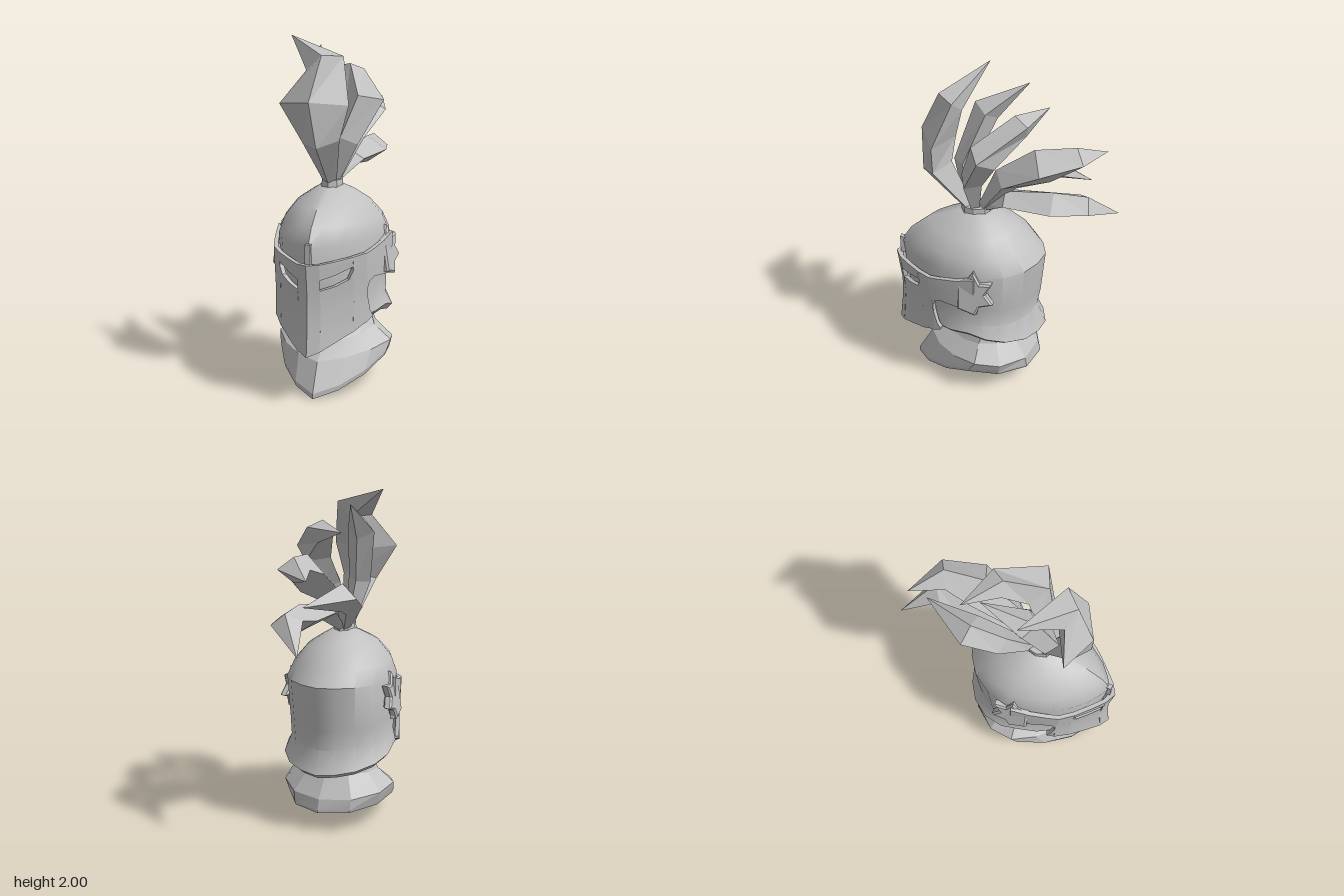
import * as THREE from 'three';
import { toCreasedNormals } from 'three/addons/utils/BufferGeometryUtils.js';

const steel = new THREE.MeshStandardMaterial({ color: 0xc0c0c0 });
steel.name = 'steel grey';

const lerp = THREE.MathUtils.lerp;
// Piecewise linear lookup in [[key, value], ...]
function lookup(table, k) {
  for (let i = 1; i < table.length; i++) {
    const [a, va] = table[i - 1], [b, vb] = table[i];
    if (k <= b) return lerp(va, vb, Math.max(0, (k - a) / (b - a)));
  }
  return table[table.length - 1][1];
}

// Skin over closed rings (counter-clockwise seen from the last ring), capped at both ends
function loft(rings, crease, startApex) {
  const pos = [];
  const tri = (a, b, c) => {
    const n = b.clone().sub(a).cross(c.clone().sub(a));
    if (n.lengthSq() > 1e-14) pos.push(...a, ...b, ...c);
  };
  for (let i = 0; i + 1 < rings.length; i++) {
    const r = rings[i], s = rings[i + 1];
    for (let j = 0; j < r.length; j++) {
      const k = (j + 1) % r.length;
      tri(r[j], r[k], s[k]);
      tri(r[j], s[k], s[j]);
    }
  }
  const mid = (r) => r.reduce((m, p) => m.add(p), new THREE.Vector3()).divideScalar(r.length);
  const first = rings[0], last = rings[rings.length - 1];
  const c0 = startApex || mid(first), c1 = mid(last);
  for (let j = 0; j < first.length; j++) {
    const k = (j + 1) % first.length;
    tri(c0, first[k], first[j]);
    tri(c1, last[j], last[k]);
  }
  const g = new THREE.BufferGeometry();
  g.setAttribute('position', new THREE.Float32BufferAttribute(pos, 3));
  return toCreasedNormals(g, crease);
}

// Mirror a non-indexed geometry across x = 0, keeping faces outward
function mirrorX(geo, crease) {
  const src = geo.attributes.position, pos = [];
  for (let i = 0; i < src.count; i += 3)
    for (const j of [i, i + 2, i + 1]) pos.push(-src.getX(j), src.getY(j), src.getZ(j));
  const g = new THREE.BufferGeometry();
  g.setAttribute('position', new THREE.Float32BufferAttribute(pos, 3));
  return toCreasedNormals(g, crease);
}

// Horizontal ring from a half outline; row = [yFront, ySide, yBack, zFront, zBack, halfWidth]
function planRing(half, [yf, ys, yb, zf, zb, w]) {
  const full = [...half, ...half.slice(1, -1).reverse().map(([u, v]) => [-u, v])];
  const zc = (zf + zb) / 2, len = (zf - zb) / 2;
  return full.map(([u, v]) =>
    new THREE.Vector3(u * w, v > 0 ? lerp(ys, yf, v) : lerp(ys, yb, -v), zc + v * len));
}

// Visor surface: front line by height, half width by distance behind it
const FRONT = [[0.28, 0.66], [0.45, 0.638], [0.6, 0.635], [0.8, 0.66]];
const WIDTH = [[0, 0], [0.035, 0.065], [0.1, 0.135], [0.18, 0.215], [0.255, 0.272],
  [0.38, 0.315], [0.54, 0.345], [0.65, 0.36]];
function visorPoint(d, y, inset) {
  const z = lookup(FRONT, y) - d;
  if (d === 0) return new THREE.Vector3(0, y, z - inset * 1.5);
  const slope = (lookup(WIDTH, d + 0.01) - lookup(WIDTH, d - 0.01)) / 0.02;
  const n = Math.hypot(1, slope);
  return new THREE.Vector3(lookup(WIDTH, d) - inset / n, y, z - inset * slope / n);
}
// Curved plate through columns [distance, yTop, yBottom]
function visorStrip(cols) {
  const steps = 5;
  return loft(cols.map(([d, top, bot]) => {
    const ring = [];
    for (let i = 0; i <= steps; i++) ring.push(visorPoint(d, lerp(top, bot, i / steps), 0));
    for (let i = steps; i >= 0; i--) ring.push(visorPoint(d, lerp(top, bot, i / steps), 0.025));
    return ring;
  }), 0.6);
}

// Faceted feather; nodes = [x, y, z, halfWidth, halfThickness]
function feather(nodes, side) {
  const p = nodes.map((n) => new THREE.Vector3(n[0], n[1], n[2]));
  return loft(nodes.map(([, , , w, t], i) => {
    const dir = p[Math.min(i + 1, p.length - 1)].clone().sub(p[Math.max(i - 1, 0)]).normalize();
    const s = side.clone().addScaledVector(dir, -side.dot(dir)).normalize();
    const n = dir.clone().cross(s);
    return [[s, w], [n, t], [s, -w], [n, -t]].map(([v, k]) => p[i].clone().addScaledVector(v, k));
  }), 0.01);
}

export function createModel() {
  const model = new THREE.Group();
  const add = (name, geo, parent = model) => {
    const m = new THREE.Mesh(geo, steel);
    m.name = name;
    parent.add(m);
  };
  const addPair = (name, geo, crease, parent) => {
    add(name + 'Left', geo, parent);
    add(name + 'Right', mirrorX(geo, crease), parent);
  };

  // Helmet shell: turned-in rim, flare, wall and dome
  const skullPlan = [[0, 1], [0.2, 0.91], [0.42, 0.79], [0.7, 0.54], [0.88, 0.28], [0.97, 0],
    [1, -0.25], [0.9, -0.53], [0.65, -0.78], [0.33, -0.93], [0, -1]];
  add('helmetShell', loft([
    [0.5, 0.53, 0.46, 0.5, -0.15, 0.25],
    [0.41, 0.44, 0.34, 0.55, -0.23, 0.3],
    [0.43, 0.475, 0.365, 0.57, -0.26, 0.33],
    [0.5, 0.535, 0.5, 0.58, -0.205, 0.3],
    [0.65, 0.65, 0.62, 0.59, -0.225, 0.3],
    [0.89, 0.89, 0.89, 0.62, -0.25, 0.315],
    [0.985, 0.985, 0.985, 0.56, -0.18, 0.28],
    [1.07, 1.07, 1.07, 0.46, -0.09, 0.21],
    [1.13, 1.13, 1.13, 0.32, 0.01, 0.12],
    [1.165, 1.165, 1.165, 0.23, 0.1, 0.06],
  ].map((r) => planRing(skullPlan, r)), 0.6));
  add('browRidge', new THREE.BoxGeometry(0.03, 0.11, 0.05).translate(0, 0.855, 0.605));

  // Neck guard with pointed collar
  const collarPlan = [[0, 1], [0.4, 0.78], [0.76, 0.42], [1, 0], [0.92, -0.45], [0.55, -0.85], [0, -1]];
  add('neckGuard', loft([
    [0, 0.165, 0.12, 0.55, -0.23, 0.315],
    [0.03, 0.19, 0.135, 0.55, -0.23, 0.325],
    [0.19, 0.25, 0.2, 0.46, -0.215, 0.34],
    [0.26, 0.33, 0.33, 0.35, -0.12, 0.24],
    [0.33, 0.41, 0.37, 0.28, -0.1, 0.21],
    [0.48, 0.52, 0.48, 0.28, -0.08, 0.2],
  ].map((r) => planRing(collarPlan, r)), 0.2, new THREE.Vector3(0, 0.15, 0.16)));

  // Visor plates around the eye slits, with cheek hooks and side arms
  const visor = new THREE.Group();
  visor.name = 'visor';
  model.add(visor);
  const plates = {
    nosePlate: [[0, 0.8, 0.28], [0.035, 0.8, 0.305]],
    browPlate: [[0.035, 0.8, 0.71], [0.1, 0.808, 0.73], [0.18, 0.82, 0.765]],
    facePlate: [[0.035, 0.65, 0.305], [0.1, 0.665, 0.345], [0.16, 0.695, 0.38], [0.18, 0.745, 0.39]],
    cheekPlate: [[0.18, 0.82, 0.39], [0.23, 0.828, 0.42], [0.255, 0.83, 0.43]],
    cheekHook: [[0.255, 0.58, 0.43], [0.28, 0.49, 0.442], [0.3, 0.465, 0.45]],
    sideArm: [[0.255, 0.83, 0.62], [0.275, 0.833, 0.66], [0.32, 0.842, 0.68], [0.43, 0.865, 0.668],
      [0.54, 0.9, 0.65]],
  };
  for (const [name, cols] of Object.entries(plates)) addPair(name, visorStrip(cols), 0.6, visor);

  // Star-shaped hinge plates at the temples
  const outline = [[0.22, 0.68], [0.11, 0.65], [0.085, 0.71], [0.005, 0.74], [0.05, 0.8],
    [0.015, 0.87], [0.085, 0.867], [0.125, 0.935], [0.155, 0.89], [0.22, 0.865]];
  const star = new THREE.Shape(outline.map(([z, y]) => new THREE.Vector2(-z, y)));
  const starGeo = new THREE.ExtrudeGeometry(star, {
    depth: 0.03, bevelEnabled: true, bevelSegments: 1, bevelSize: 0.012, bevelThickness: 0.01, bevelOffset: -0.012,
  }).rotateY(Math.PI / 2);
  const sp = starGeo.attributes.position;
  for (let i = 0; i < sp.count; i++)
    sp.setX(i, sp.getX(i) + 0.322 - (sp.getY(i) - 0.75) * 0.15 - sp.getZ(i) * 0.1);
  addPair('templeStar', toCreasedNormals(starGeo, 0.3), 0.3, visor);

  // Plume socket
  add('plumeSocket', toCreasedNormals(
    new THREE.CylinderGeometry(0.062, 0.066, 0.06, 8).scale(1, 1, 1.35).translate(0, 1.165, 0.165), 0.3));

  // Plume feathers
  const plume = new THREE.Group();
  plume.name = 'plume';
  model.add(plume);
  const acrossX = new THREE.Vector3(1, 0, 0);
  const feathers = [
    ['frontFeather', [[0, 1.17, 0.2, 0.035, 0.03], [0, 1.44, 0.385, 0.11, 0.09],
      [-0.04, 1.64, 0.38, 0.2, 0.1], [0, 1.86, 0.3, 0.11, 0.08], [-0.255, 2, 0.12, 0, 0]], acrossX],
    ['leftFeather', [[0.01, 1.17, 0.17, 0.03, 0.03], [0.09, 1.42, 0.17, 0.08, 0.07],
      [0.17, 1.62, 0.09, 0.12, 0.09], [0.04, 1.77, -0.1, 0.08, 0.07], [-0.155, 1.79, -0.235, 0, 0]],
    new THREE.Vector3(0.9, -0.2, 0.4)],
    ['rightFeather', [[-0.01, 1.17, 0.2, 0.03, 0.03], [-0.06, 1.45, 0.24, 0.07, 0.06],
      [-0.12, 1.76, 0.12, 0.08, 0.08], [-0.155, 1.935, -0.12, 0, 0]], acrossX],
    ['upperBackFeather', [[0, 1.17, 0.13, 0.03, 0.03], [0.05, 1.42, -0.02, 0.09, 0.08],
      [0.08, 1.55, -0.23, 0.13, 0.11], [0.05, 1.6, -0.42, 0.09, 0.07], [-0.1, 1.57, -0.575, 0, 0]], acrossX],
    ['lowerBackFeather', [[0, 1.18, 0.1, 0.03, 0.025], [0.05, 1.29, -0.03, 0.09, 0.05],
      [0.08, 1.3, -0.3, 0.12, 0.08], [0.07, 1.31, -0.47, 0.09, 0.06], [-0.085, 1.17, -0.66, 0, 0]], acrossX],
    ['rightBackFeather', [[-0.02, 1.18, 0.12, 0.03, 0.03], [-0.11, 1.35, -0.03, 0.08, 0.07],
      [-0.14, 1.42, -0.2, 0.1, 0.08], [-0.04, 1.41, -0.5, 0, 0]], acrossX],
  ];
  for (const [name, nodes, side] of feathers) add(name, feather(nodes, side), plume);

  return model;
}
